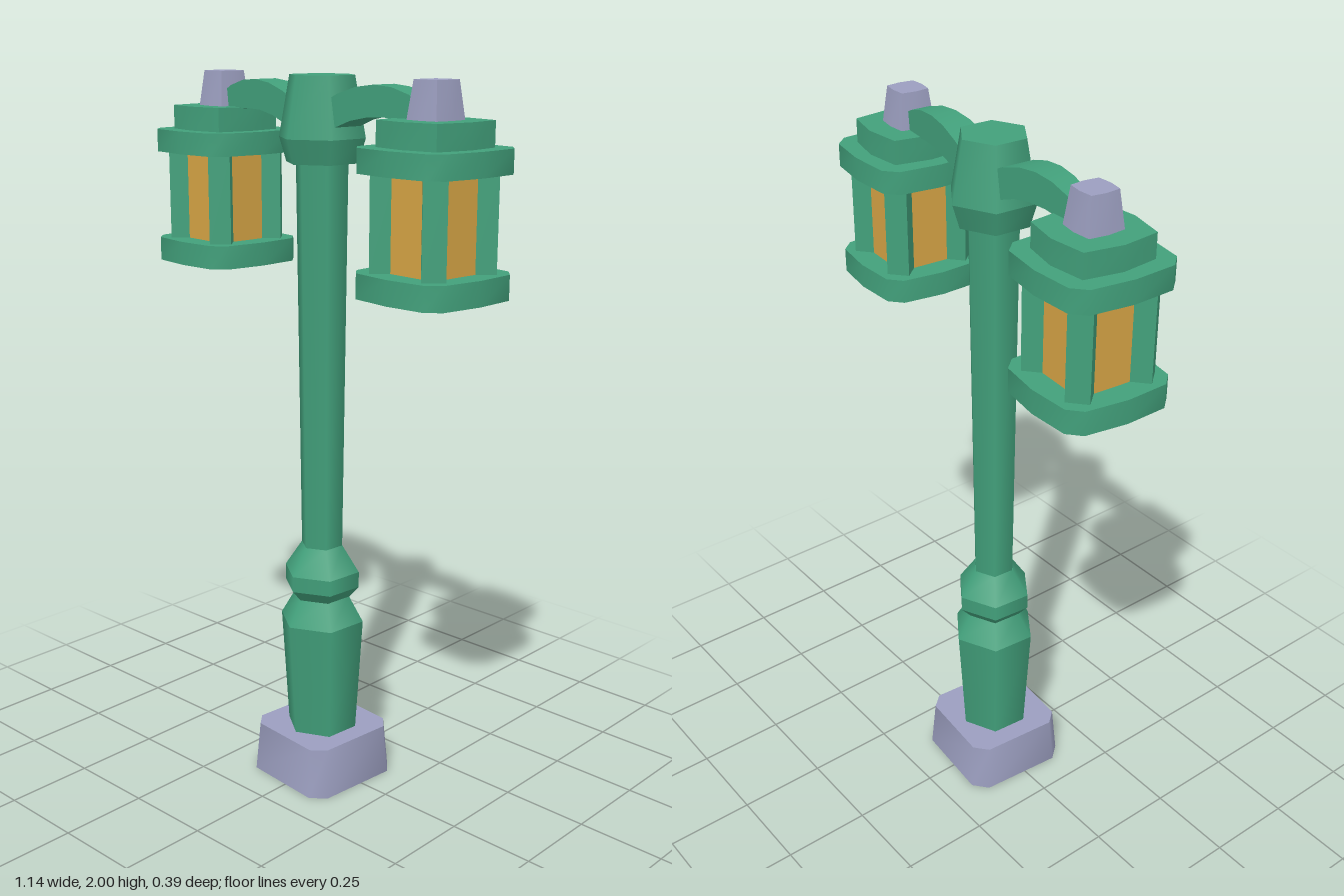
import * as THREE from 'three';
import { mergeGeometries, toCreasedNormals } from 'three/addons/utils/BufferGeometryUtils.js';

const mat = (name, color) => {
  const m = new THREE.MeshStandardMaterial({ color });
  m.name = name;
  return m;
};

// Vertical prism whose outline is a quarter list of [x, z] points turned four times
function prism(quarter, y0, y1, topScale = 1) {
  const pts = [];
  let q = quarter;
  for (let k = 0; k < 4; k++) {
    pts.push(...q);
    q = q.map(([x, z]) => [z, -x]);
  }
  const n = pts.length;
  const g = new THREE.CylinderGeometry(1, 1, 1, n);
  const p = g.attributes.position;
  for (let i = 0; i < p.count; i++) {
    const x = p.getX(i), z = p.getZ(i), top = p.getY(i) > 0;
    const s = top ? topScale : 1;
    if (Math.hypot(x, z) > 0.5) {
      const k = (Math.round(Math.atan2(x, z) / (2 * Math.PI) * n) + n) % n;
      p.setXYZ(i, pts[k][0] * s, top ? y1 : y0, pts[k][1] * s);
    } else p.setXYZ(i, 0, top ? y1 : y0, 0);
  }
  return toCreasedNormals(g, 0.85);
}

// Six-sided turned column from [radius, y] pairs, crisp between the bands
function turned(profile) {
  const parts = [];
  for (let i = 0; i < profile.length - 1; i++) {
    const [r0, y0] = profile[i], [r1, y1] = profile[i + 1];
    parts.push(new THREE.CylinderGeometry(r1, r0, y1 - y0, 6, 1, true).translate(0, (y0 + y1) / 2, 0));
  }
  const [rb, yb] = profile[0], [rt, yt] = profile[profile.length - 1];
  parts.push(new THREE.CircleGeometry(rt, 6, Math.PI / 6 * 3).rotateX(-Math.PI / 2).translate(0, yt, 0));
  parts.push(new THREE.CircleGeometry(rb, 6, Math.PI / 6 * 3).rotateX(Math.PI / 2).translate(0, yb, 0));
  return mergeGeometries(parts);
}

// Arched arm along +x, narrowing towards the lantern
function armGeometry() {
  const s = new THREE.Shape();
  s.moveTo(0.04, 1.84);
  s.quadraticCurveTo(0.2, 1.945, 0.4, 1.88);
  s.lineTo(0.4, 1.935);
  s.quadraticCurveTo(0.24, 2.035, 0.04, 1.925);
  const g = new THREE.ExtrudeGeometry(s, { depth: 1, bevelEnabled: false, curveSegments: 6 });
  g.translate(0, 0, -0.5);
  const p = g.attributes.position;
  for (let i = 0; i < p.count; i++) {
    p.setZ(i, p.getZ(i) * THREE.MathUtils.mapLinear(p.getX(i), 0.08, 0.36, 0.093, 0.055));
  }
  return toCreasedNormals(g, 0.6);
}

export function createModel() {
  const green = mat('green paint', 0x42a07b);
  const stone = mat('grey stone', 0x9b9ebf);
  const amber = mat('amber glass', 0xd6a445);

  const add = (parent, name, geometry, material) => {
    const m = new THREE.Mesh(geometry, material);
    m.name = name;
    parent.add(m);
    return m;
  };

  const model = new THREE.Group();
  model.name = 'streetLamp';
  const lamp = new THREE.Group();
  lamp.name = 'lamp';
  lamp.rotation.y = -THREE.MathUtils.degToRad(5);
  model.add(lamp);

  // Foot and column
  add(lamp, 'base', prism([[0.118, 0.156], [0.156, 0.118]], 0, 0.145, 0.93), stone);
  add(lamp, 'pedestal', turned([[0.102, 0.14], [0.123, 0.48], [0.08, 0.555]]), green);
  add(lamp, 'collar', turned([[0.08, 0.55], [0.11, 0.585], [0.11, 0.63], [0.061, 0.705]]), green);
  add(lamp, 'pole', turned([[0.06, 0.7], [0.073, 1.78]]), green);
  add(lamp, 'poleHead', turned([[0.1, 1.775], [0.12, 1.84], [0.09, 2]]), green);

  // Two opposite arms with lanterns
  const plate = [[0, 0.162], [0.117, 0.151], [0.151, 0.117]];
  for (const side of ['left', 'right']) {
    const half = new THREE.Group();
    half.name = side + 'Side';
    half.rotation.y = side === 'left' ? 0 : Math.PI;
    lamp.add(half);
    add(half, 'arm', armGeometry(), green);

    const lantern = new THREE.Group();
    lantern.name = 'lantern';
    lantern.position.x = 0.411;
    half.add(lantern);
    add(lantern, 'floorPlate', prism(plate, 1.47, 1.535), green);
    add(lantern, 'roofPlate', prism(plate, 1.778, 1.84), green);
    add(lantern, 'roofStep', prism([[0, 0.118], [0.102, 0.102]], 1.84, 1.905), green);
    add(lantern, 'finial', prism([[0, 0.056], [0.05, 0.05]], 1.905, 2, 0.78), stone);
    add(lantern, 'glass', new THREE.BoxGeometry(0.19, 0.25, 0.19).translate(0, 1.657, 0), amber);

    // Square posts set diagonally at the corners
    for (let k = 0; k < 4; k++) {
      const post = new THREE.BoxGeometry(0.06, 0.25, 0.062);
      post.translate(0, 1.657, 0.126).rotateY(Math.PI / 4 + k * Math.PI / 2);
      add(lantern, 'cornerPost', post, green);
    }
  }
  return model;
}
